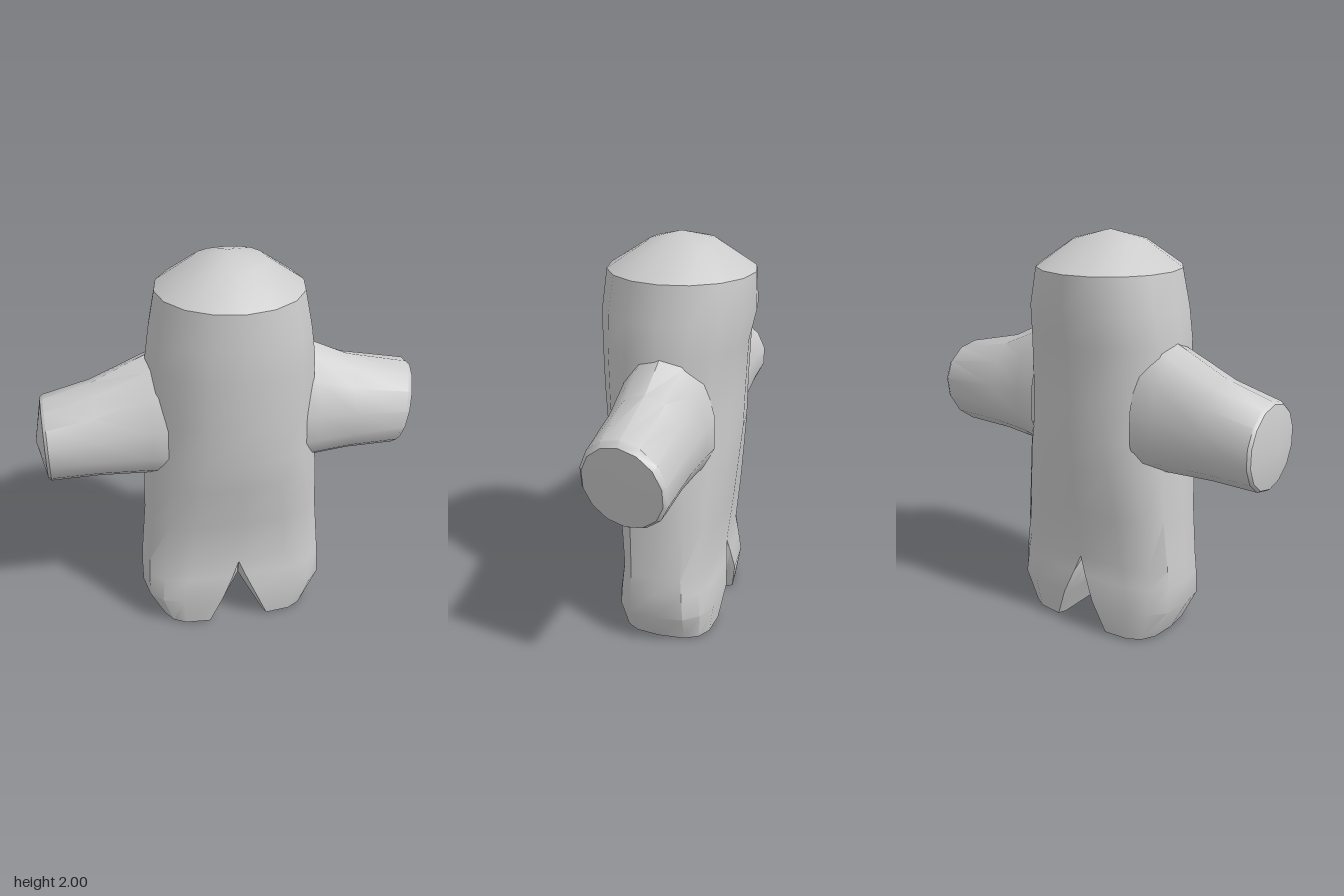
import * as THREE from 'three';
import { mergeGeometries, toCreasedNormals } from 'three/addons/utils/BufferGeometryUtils.js';

const SEG = 16;
const CREASE = 0.6;

// Joins closed rings of points into a skin, skipping collapsed triangles
function loft(rings) {
  const pos = [];
  const tri = (a, b, c) => {
    const n = b.clone().sub(a).cross(c.clone().sub(a));
    if (n.length() > 1e-7) pos.push(...a, ...b, ...c);
  };
  for (let i = 0; i < rings.length - 1; i++) {
    const lo = rings[i], hi = rings[i + 1], n = lo.length;
    for (let j = 0; j < n; j++) {
      const k = (j + 1) % n;
      tri(lo[j], hi[j], lo[k]);
      tri(lo[k], hi[j], hi[k]);
    }
  }
  const geo = new THREE.BufferGeometry();
  geo.setAttribute('position', new THREE.Float32BufferAttribute(pos, 3));
  return geo;
}

const power = (v, n) => (Math.abs(v) < 1e-9 ? 0 : Math.sign(v) * Math.abs(v) ** (2 / n));

// A ring squeezed to one point closes an end
const closeRing = (ring, point) => ring.map(() => point.clone());

// Point of a rounded-square section with separate front and back depths
function sectionPoint(t, y, inner, width, front, back, n) {
  const c = power(Math.cos(t), n), s = power(Math.sin(t), n);
  return new THREE.Vector3(inner + (width - Math.abs(inner)) * c, y, s * (s > 0 ? front : back));
}

// Torso and head: y, half width, front depth, back depth, squareness
function torsoGeometry() {
  const rows = [
    [0.39, 0.475, 0.23, 0.25, 3],
    [0.65, 0.45, 0.26, 0.28, 2.8],
    [0.9, 0.44, 0.325, 0.305, 2.4],
    [1.05, 0.42, 0.35, 0.32, 2.2],
    [1.25, 0.415, 0.365, 0.325, 2.1],
    [1.5, 0.41, 0.37, 0.335, 2.1],
    [1.65, 0.388, 0.37, 0.368, 2.1],
    [1.83, 0.353, 0.35, 0.36, 2],
    [1.955, 0.17, 0.155, 0.165, 2.4],
  ];
  const rings = rows.map(([y, w, f, b, n]) =>
    Array.from({ length: SEG }, (_, i) => sectionPoint((i / SEG) * Math.PI * 2, y, 0, w, f, b, n)));
  rings.push(closeRing(rings[0], new THREE.Vector3(0, 2, 0)));
  return loft(rings);
}

// Leg: D-shaped sections whose inner wall leans outward to form the notch
function legGeometry(side) {
  // y, inner x at the edges, inner x in the middle, outer x, front, back
  const rows = [
    [0.005, 0.155, 0.14, 0.395, 0.225, 0.25],
    [0.17, 0.09, 0.065, 0.48, 0.25, 0.275],
    [0.3, 0.035, 0, 0.48, 0.24, 0.262],
    [0.39, 0, 0, 0.475, 0.23, 0.25],
  ];
  const start = side > 0 ? -Math.PI / 2 : Math.PI / 2;
  const rings = rows.map(([y, edge, middle, w, f, b]) => {
    const ring = [];
    for (let i = 0; i <= SEG / 2; i++) {
      ring.push(sectionPoint(start + (i / SEG) * Math.PI * 2, y, side * edge, w, f, b, 3));
    }
    const inset = [new THREE.Vector3(side * middle, y, f - 0.04), new THREE.Vector3(side * middle, y, 0.04 - b)];
    if (side < 0) inset.reverse();
    return [...ring, ...inset];
  });
  rings.unshift(closeRing(rings[0], new THREE.Vector3(side * 0.27, 0, 0)));
  return loft(rings);
}

// Arm: sections along x, each [x, bottom, top, half depth, lean with height, lean with depth]
function armGeometry(rows, tip) {
  const cz = -0.02;
  const rings = rows.map(([x, bottom, top, r, leanY, leanZ]) =>
    Array.from({ length: 14 }, (_, i) => {
      const t = (i / 14) * Math.PI * 2 + Math.PI / 2;
      const c = Math.cos(t), s = Math.sin(t), cy = 1.11;
      return new THREE.Vector3(x + leanY * s + leanZ * c, cy + s * (s > 0 ? top - cy : cy - bottom), cz + c * r);
    }));
  if (tip.x > 0) rings.push(closeRing(rings[0], tip));
  else rings.unshift(closeRing(rings[0], tip));
  return loft(rings);
}

export function createModel() {
  const group = new THREE.Group();
  const material = new THREE.MeshStandardMaterial({ color: 0xcccccc });
  const add = (name, geometry) => {
    const mesh = new THREE.Mesh(toCreasedNormals(geometry, CREASE), material);
    mesh.name = name;
    group.add(mesh);
  };

  // Torso and legs share one skin so that shading runs through the hips
  add('bodyAndLegs', mergeGeometries([torsoGeometry(), legGeometry(1), legGeometry(-1)]));

  // Left arm ends in a slanted flat face
  add('leftArm', armGeometry([
    [0.3, 0.86, 1.55, 0.24, 0, 0],
    [0.41, 0.885, 1.5, 0.23, 0, 0],
    [0.6, 0.9, 1.41, 0.215, 0, 0],
    [0.885, 0.9, 1.335, 0.212, 0.03, -0.035],
    [0.91, 0.915, 1.31, 0.195, 0.03, -0.035],
  ], new THREE.Vector3(0.913, 1.11, -0.02)));

  // Right arm ends in a shallow cone
  add('rightArm', armGeometry([
    [-0.914, 0.91, 1.31, 0.2, 0, 0],
    [-0.9, 0.9, 1.322, 0.212, 0, 0],
    [-0.67, 0.9, 1.385, 0.215, 0, 0],
    [-0.41, 0.885, 1.505, 0.23, 0, 0],
    [-0.3, 0.86, 1.55, 0.24, 0, 0],
  ], new THREE.Vector3(-0.955, 1.1, -0.02)));

  return group;
}
